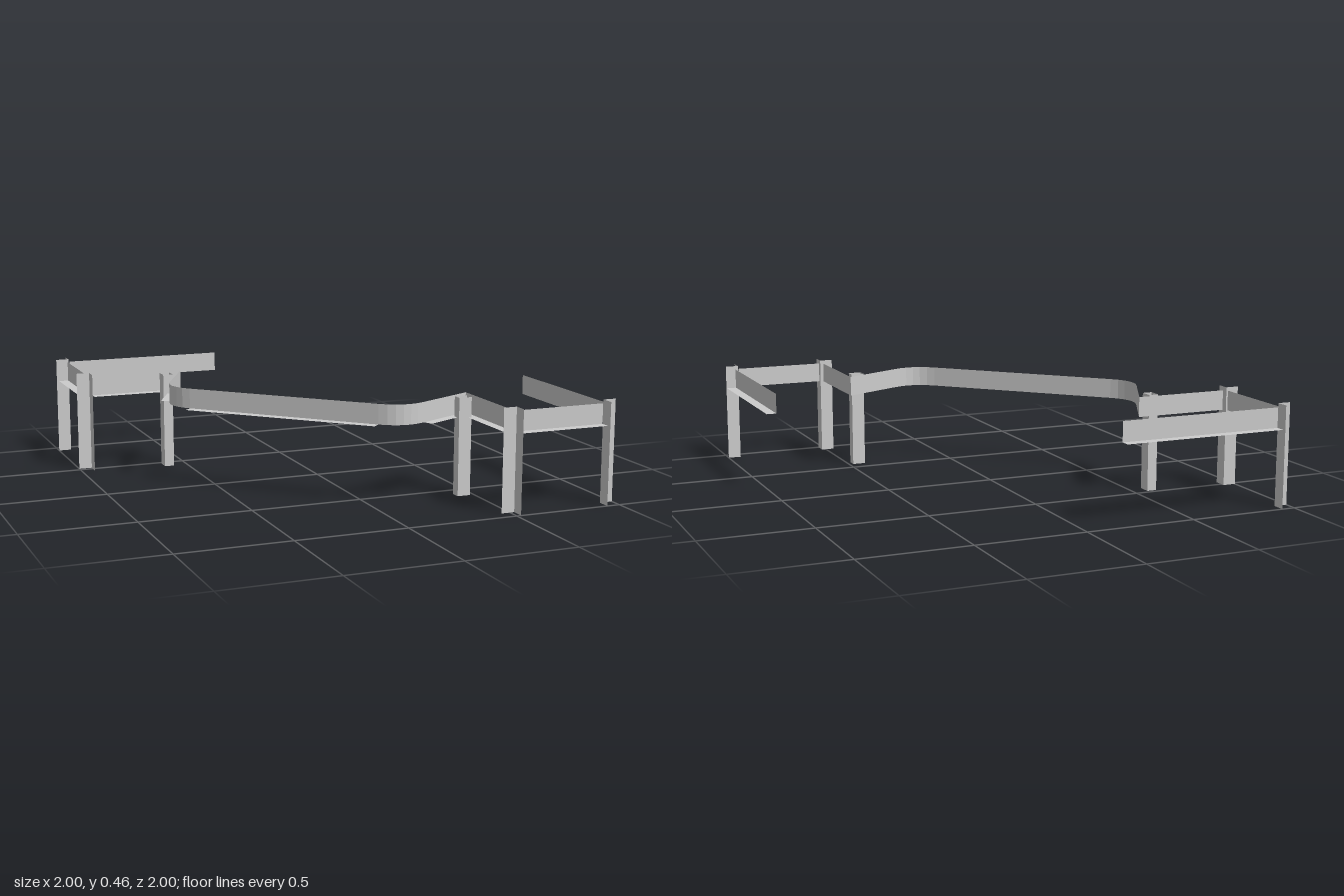
import * as THREE from 'three';

const RAIL_Y = 0.35, RAIL_TOP = 0.44, LEG_TOP = 0.455;

export function createModel() {
  const model = new THREE.Group();
  model.name = 'angleFrame';
  const steel = new THREE.MeshStandardMaterial({ color: 0xcccccc, side: THREE.DoubleSide });
  steel.name = 'light grey steel';

  function addMesh(parent, name, positions) {
    const geo = new THREE.BufferGeometry();
    geo.setAttribute('position', new THREE.Float32BufferAttribute(positions, 3));
    geo.computeVertexNormals();
    const mesh = new THREE.Mesh(geo, steel);
    mesh.name = name;
    parent.add(mesh);
  }

  // Upright sheet standing on a plan path of [x, z] points
  function sheet(parent, name, path, y0, y1) {
    const p = [];
    for (let i = 0; i < path.length - 1; i++) {
      const [ax, az] = path[i], [bx, bz] = path[i + 1];
      p.push(ax, y0, az, bx, y0, bz, bx, y1, bz, ax, y0, az, bx, y1, bz, ax, y1, az);
    }
    addMesh(parent, name, p);
  }

  // Horizontal four-cornered plate, wound to face up
  function plate(parent, name, corners, y) {
    const [a, b, c] = corners;
    const turn = (b[0] - a[0]) * (c[1] - a[1]) - (b[1] - a[1]) * (c[0] - a[0]);
    const q = turn > 0 ? [...corners].reverse() : corners;
    addMesh(parent, name, [0, 1, 2, 0, 2, 3].flatMap((i) => [q[i][0], y, q[i][1]]));
  }

  // Angle rail: web on the line a-b, flange from the web to the line d-c
  function rail(parent, name, a, b, c, d) {
    const group = new THREE.Group();
    group.name = name;
    sheet(group, name + 'Web', [a, b], RAIL_Y, RAIL_TOP);
    plate(group, name + 'Flange', [a, b, c, d], RAIL_Y);
    parent.add(group);
  }

  // One half; map places its plan points, end is where the long rail stops
  function half(name, map, end) {
    const g = new THREE.Group();
    g.name = name;
    const pts = (list) => list.map(map);

    rail(g, 'longRail', ...pts([[0.955, end], [0.955, 0.93], [1, 0.93], [1, end]]));
    rail(g, 'endRail', ...pts([[0.525, 0.945], [0.935, 0.945], [0.935, 0.99], [0.525, 0.99]]));
    rail(g, 'sideRail', ...pts([[0.507, 0.5], [0.507, 0.93], [0.465, 0.93], [0.465, 0.57]]));
    rail(g, 'angledRail', ...pts([[0.507, 0.5], [0.242, 0.63], [0.26, 0.67], [0.465, 0.57]]));

    // Corner legs: two plates meeting at the inner corner
    sheet(g, 'outerLeg', pts([[1, 0.94], [0.94, 0.94], [0.94, 1]]), 0, LEG_TOP);
    sheet(g, 'innerLeg', pts([[0.46, 0.94], [0.52, 0.94], [0.52, 1]]), 0, LEG_TOP);

    // Hollow post in the notch between side rail and angled rail
    const post = [[0.42, 0.565], [0.48, 0.565], [0.48, 0.61], [0.42, 0.61], [0.42, 0.565]];
    sheet(g, 'notchPost', pts(post), 0, RAIL_TOP);

    // Bent strip joining the angled rail to the diagonal rail
    const bend = new THREE.QuadraticBezierCurve(
      new THREE.Vector2(0.04, 0.6), new THREE.Vector2(0.129, 0.689), new THREE.Vector2(0.242, 0.63));
    sheet(g, 'bentStrip', pts(bend.getPoints(6).map((v) => [v.x, v.y])), RAIL_Y, RAIL_TOP);
    model.add(g);
  }

  half('leftHalf', ([x, z]) => [x, z], 0.21);
  half('rightHalf', ([x, z]) => [-z, -x], 0.18);

  // Diagonal rail between the halves
  rail(model, 'diagonalRail', [-0.6, -0.04], [0.04, 0.6], [0.01, 0.63], [-0.63, -0.01]);
  return model;
}
